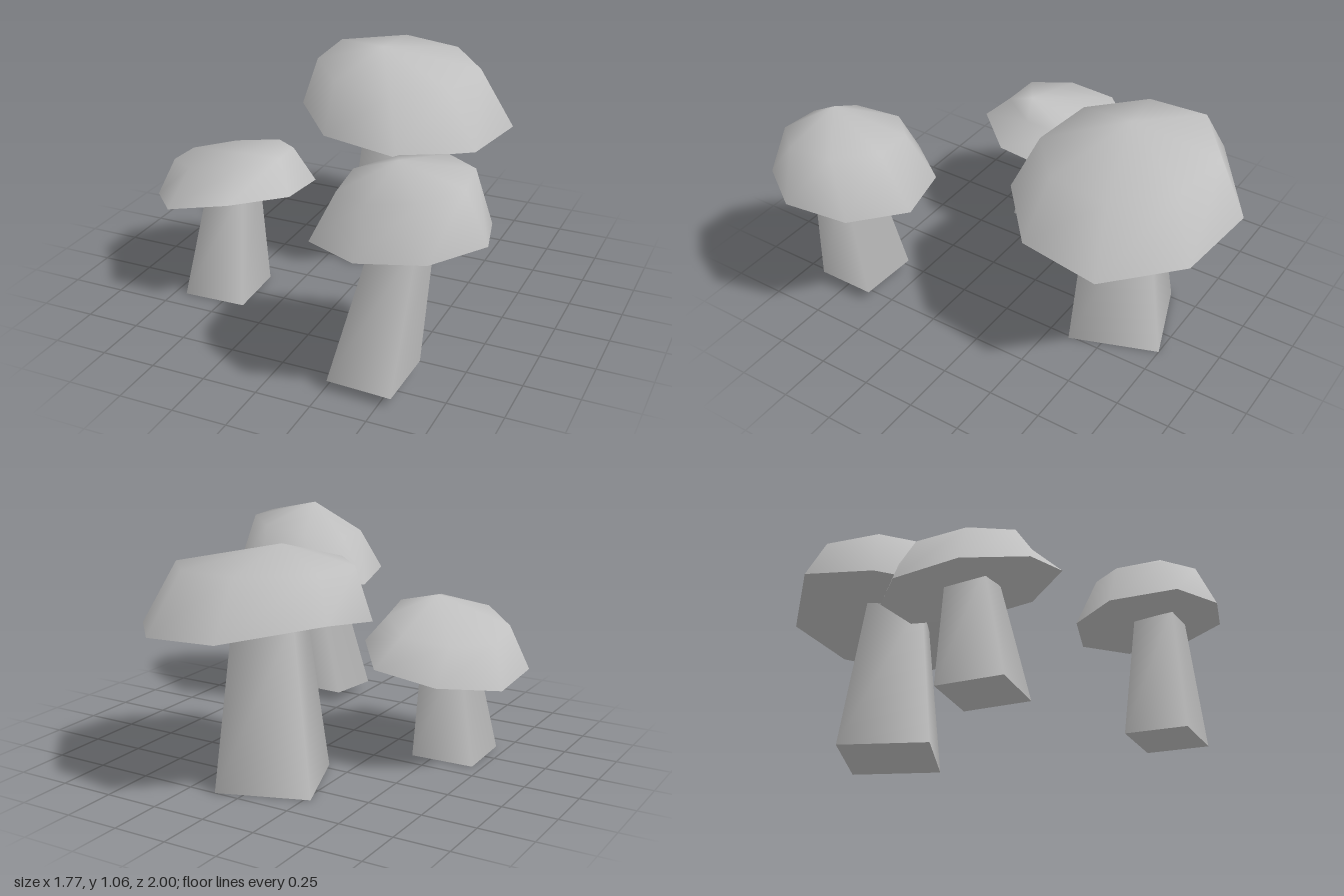
import * as THREE from 'three';

const grey = new THREE.MeshStandardMaterial({ color: 0xc0c0c0 });
grey.name = 'plainGrey';

function mesh(name, geometry) {
  const m = new THREE.Mesh(geometry, grey);
  m.name = name;
  return m;
}

// Indexed geometry from points, with normals smoothed over shared points
function fromPoints(points, index) {
  const g = new THREE.BufferGeometry();
  g.setAttribute('position', new THREE.Float32BufferAttribute(points.flat(), 3));
  g.setIndex(index);
  g.computeVertexNormals();
  return g;
}

// Square tapering stem leaning from base to top; tilt slopes its foot along z
function makeStem({ base, top, baseHalf, topHalf, turn, tilt }) {
  const h = top[1] - base[1];
  const g = new THREE.CylinderGeometry(topHalf * Math.SQRT2, baseHalf * Math.SQRT2, h, 4, 1, false, Math.PI / 4 + turn);
  const p = g.attributes.position;
  for (let i = 0; i < p.count; i++) {
    const t = p.getY(i) / h + 0.5;
    p.setXYZ(i,
      p.getX(i) + THREE.MathUtils.lerp(base[0], top[0], t),
      base[1] + t * h + (1 - t) * tilt * p.getZ(i),
      p.getZ(i) + THREE.MathUtils.lerp(base[2], top[2], t));
  }
  return mesh('stem', g);
}

// Eight-sided cap: tilted rim, smaller twisted shoulder ring, apex and flat underside
function makeCap({ rim, middle, shoulder, scale, twist, slope, apex }) {
  const n = rim.length;
  const c = Math.cos(twist) * scale, s = Math.sin(twist) * scale;
  const upper = rim.map(([x, , z]) => {
    const rx = x - middle[0], rz = z - middle[1];
    const dx = rx * c - rz * s, dz = rx * s + rz * c;
    return [shoulder[0] + dx, shoulder[1] + dx * slope[0] + dz * slope[1], shoulder[2] + dz];
  });
  const dome = [], under = [];
  for (let i = 0; i < n; i++) {
    const j = (i + 1) % n;
    dome.push(j, i, n + i, j, n + i, n + j, 2 * n, n + j, n + i);
    under.push(n, i, j);
  }
  const centre = [0, 1, 2].map(k => rim.reduce((sum, p) => sum + p[k], 0) / n);
  return [
    mesh('capDome', fromPoints([...rim, ...upper, apex], dome)),
    mesh('capUnderside', fromPoints([...rim, centre], under)),
  ];
}

const mushrooms = [
  {
    name: 'largeMushroom',
    stem: { base: [-0.007, 0, -0.48], top: [0.01, 0.75, -0.468], baseHalf: 0.211, topHalf: 0.132, turn: 0.349, tilt: 0 },
    cap: {
      rim: [[-0.08, 0.75, -1], [0.303, 0.715, -0.945], [0.563, 0.68, -0.65], [0.503, 0.683, -0.26],
        [0.21, 0.703, -0.005], [-0.18, 0.727, -0.06], [-0.435, 0.752, -0.36], [-0.435, 0.815, -0.73]],
      middle: [0.06, -0.495], shoulder: [0.018, 0.976, -0.485], scale: 0.765, twist: 0, slope: [-0.04, -0.05],
      apex: [-0.05, 1.063, -0.46],
    },
  },
  {
    name: 'frontMushroom',
    stem: { base: [0.415, 0.051, 0.722], top: [0.533, 0.72, 0.694], baseHalf: 0.147, topHalf: 0.094, turn: -0.045, tilt: -0.05 },
    cap: {
      rim: [[0.572, 0.666, 0.28], [0.813, 0.695, 0.443], [0.883, 0.73, 0.713], [0.723, 0.725, 0.943],
        [0.442, 0.702, 1], [0.197, 0.688, 0.878], [0.127, 0.66, 0.575], [0.292, 0.66, 0.35]],
      middle: [0.502, 0.642], shoulder: [0.522, 0.927, 0.654], scale: 0.73, twist: 0.11, slope: [0.145, -0.03],
      apex: [0.512, 1.03, 0.722],
    },
  },
  {
    name: 'smallMushroom',
    stem: { base: [-0.55, 0, 0.245], top: [-0.53, 0.53, 0.188], baseHalf: 0.15, topHalf: 0.09, turn: 0.035, tilt: 0 },
    cap: {
      rim: [[-0.65, 0.445, -0.19], [-0.355, 0.485, -0.2], [-0.18, 0.54, 0.033], [-0.175, 0.57, 0.313],
        [-0.37, 0.583, 0.533], [-0.69, 0.497, 0.517], [-0.885, 0.445, 0.29], [-0.88, 0.42, -0.005]],
      middle: [-0.53, 0.165], shoulder: [-0.543, 0.656, 0.15], scale: 0.74, twist: -0.15, slope: [0.145, 0.12],
      apex: [-0.42, 0.733, 0.29],
    },
  },
];

export function createModel() {
  const model = new THREE.Group();
  model.name = 'mushroomCluster';
  for (const { name, stem, cap } of mushrooms) {
    const group = new THREE.Group();
    group.name = name;
    group.add(makeStem(stem), ...makeCap(cap));
    model.add(group);
  }
  return model;
}
